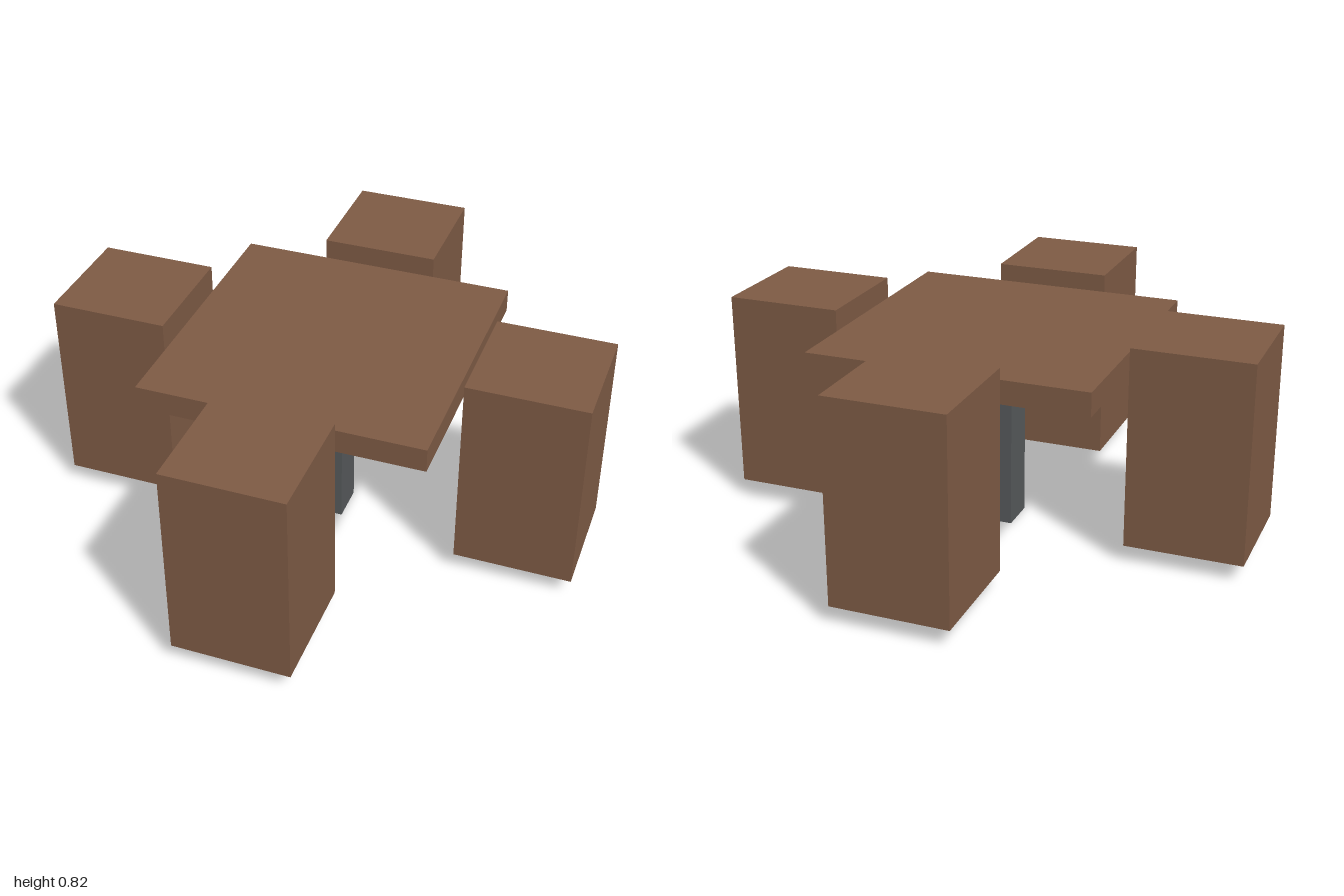
import * as THREE from 'three';

export function createModel() {
  const model = new THREE.Group();
  const wood = new THREE.MeshStandardMaterial({ color: 0x7d5a44, flatShading: true });
  const metal = new THREE.MeshStandardMaterial({ color: 0x55585a, flatShading: true });

  // Square block standing between two heights
  function block(name, width, bottom, top, material, x = 0, z = 0) {
    const mesh = new THREE.Mesh(new THREE.BoxGeometry(width, top - bottom, width), material);
    mesh.name = name;
    mesh.position.set(x, (bottom + top) / 2, z);
    model.add(mesh);
  }

  // Table: slab on a central post
  block('tableTop', 1.053, 0.675, 0.763, wood);
  block('tablePost', 0.144, 0, 0.675, metal);

  // One block seat on each side of the table
  const seatWidth = 0.439;
  const reach = 1 - seatWidth / 2;
  const sides = { frontSeat: [0, 1], backSeat: [0, -1], leftSeat: [1, 0], rightSeat: [-1, 0] };
  for (const [name, [x, z]] of Object.entries(sides)) {
    block(name, seatWidth, 0.067, 0.819, wood, x * reach, z * reach);
  }

  return model;
}
